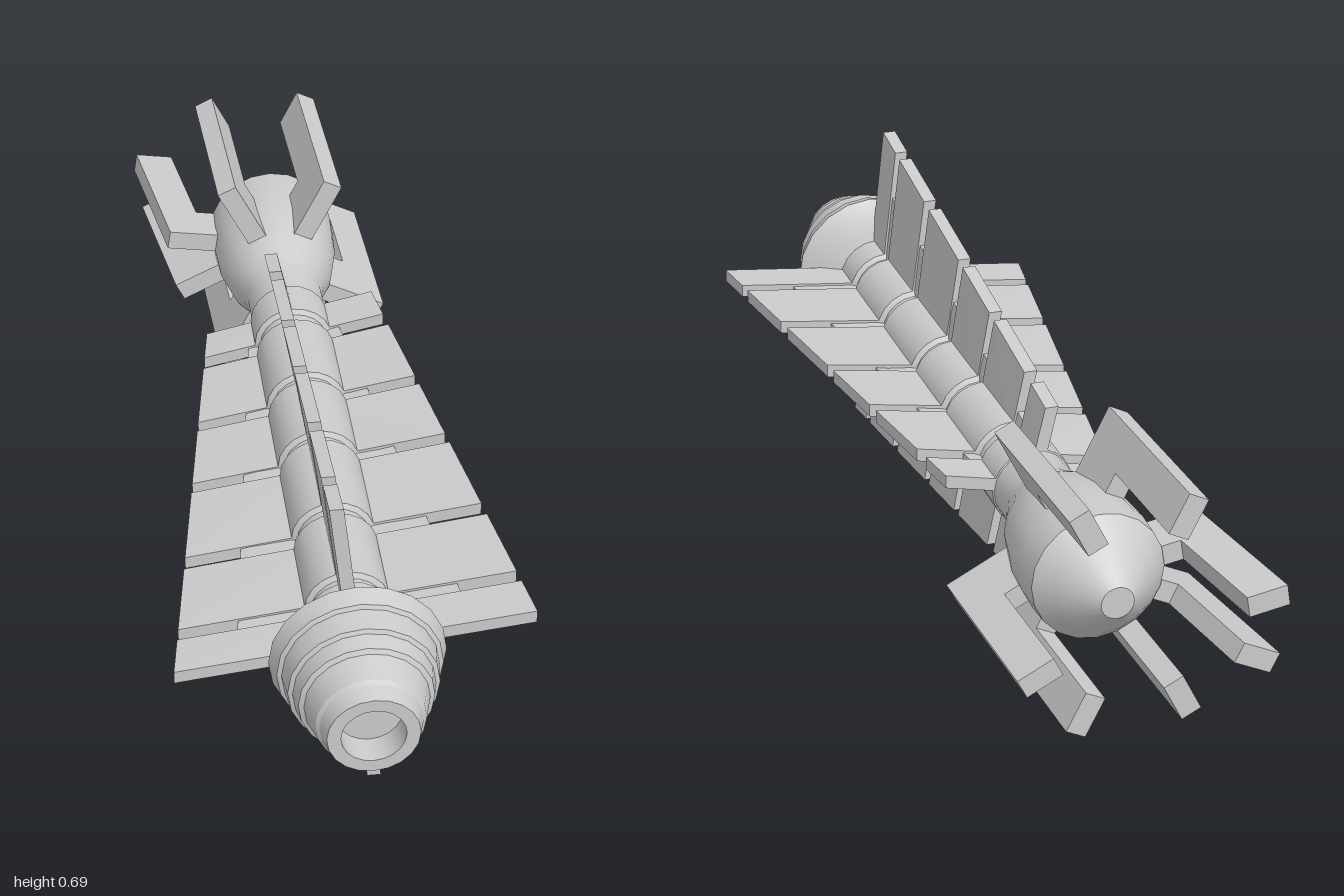
import * as THREE from 'three';
import { toCreasedNormals } from 'three/addons/utils/BufferGeometryUtils.js';

const AXIS_X = 0.005, AXIS_Y = 0.342;
const material = new THREE.MeshStandardMaterial({ color: 0xcccccc, side: THREE.DoubleSide });

function part(name, geometry) {
  const mesh = new THREE.Mesh(geometry, material);
  mesh.name = name;
  return mesh;
}

// Turned part around the long axis; points are [radius, z] from back to front
function turned(name, points, sides = 20) {
  const lathe = new THREE.LatheGeometry(points.map(([r, z]) => new THREE.Vector2(r, z)), sides);
  lathe.rotateX(Math.PI / 2);
  return part(name, toCreasedNormals(lathe, 0.45));
}

// Flat plate of the given outline, centred on its thickness
function plate(points, thickness) {
  const shape = new THREE.Shape(points.map(([x, y]) => new THREE.Vector2(x, y)));
  const geometry = new THREE.ExtrudeGeometry(shape, { depth: thickness, bevelEnabled: false });
  return geometry.translate(0, 0, -thickness / 2);
}

// Front and back z of each fin segment
const SEGMENTS = [[0.745, 0.65], [0.62, 0.435], [0.4, 0.19], [0.16, -0.02], [-0.05, -0.245], [-0.285, -0.375]];
const tipRadius = (z) => 0.347 - (0.745 - z) * 0.1535;
const webRadius = (z) => 0.22 - (0.63 - z) * 0.13;

// Fin piece between two z values, leaning sideways so that all tips line up
function finPiece(name, front, back, radiusAt, thickness, extra) {
  const geometry = plate([
    [back, 0.04], [front, 0.04], [front, radiusAt(front) + extra], [back, radiusAt(back) + extra],
  ], thickness);
  geometry.rotateY(-Math.PI / 2);
  const p = geometry.attributes.position;
  for (let i = 0; i < p.count; i++) {
    p.setX(i, p.getX(i) - 0.04 * p.getY(i) / tipRadius(p.getZ(i)));
  }
  geometry.computeVertexNormals();
  return part(name, geometry);
}

// L-shaped claw: an arm out from the head, then a finger running back
function claw(angle, { z, length, armLength, inner, bend, outer, slant }) {
  const geometry = plate([
    [inner, 0], [outer, 0], [outer, length], [bend, length], [bend, armLength], [inner, armLength],
  ], 0.044);
  geometry.rotateX(-Math.PI / 2);
  geometry.rotateZ(THREE.MathUtils.degToRad(angle));
  geometry.applyMatrix4(new THREE.Matrix4().set(1, 0, slant, 0, 0, 1, 0, 0, 0, 0, 1, 0, 0, 0, 0, 1));
  geometry.computeVertexNormals();
  const mesh = part('claw', geometry);
  mesh.position.z = z;
  return mesh;
}

export function createModel() {
  const model = new THREE.Group();
  model.name = 'finnedShaft';
  const body = new THREE.Group();
  body.name = 'body';
  body.position.set(AXIS_X, AXIS_Y, 0);
  model.add(body);

  // Stepped nose with a recessed front
  body.add(turned('nose', [
    [0.07, 0.725], [0.1, 0.735], [0.145, 0.748], [0.175, 0.77],
    [0.163, 0.808], [0.154, 0.812], [0.148, 0.862], [0.139, 0.866],
    [0.132, 0.9], [0.122, 0.905], [0.107, 0.96], [0.1, 0.966],
    [0.09, 1], [0.063, 1], [0.063, 0.94], [0, 0.94],
  ]));

  // Shaft: thick sections with narrow grooves between the fin segments
  const shaft = [];
  for (const [front, back] of SEGMENTS) {
    shaft.unshift([0.075, back - 0.006], [0.086, back], [0.086, front], [0.075, front + 0.006]);
  }
  body.add(turned('shaft', shaft));

  // Flared neck and rounded head at the back
  body.add(turned('head', [
    [0, -0.867], [0.034, -0.867], [0.07, -0.832], [0.107, -0.795], [0.137, -0.76],
    [0.14, -0.7], [0.135, -0.62], [0.118, -0.54], [0.095, -0.49], [0.083, -0.455], [0.083, -0.37],
  ]));

  // Four segmented fins, each with a low web filling the gaps
  for (let i = 0; i < 4; i++) {
    const fin = new THREE.Group();
    fin.name = 'fin';
    const extra = i % 2 ? 0.01 : 0;
    for (const [front, back] of SEGMENTS) {
      fin.add(finPiece('finSegment', front, back, tipRadius, 0.028, extra));
    }
    fin.add(finPiece('finWeb', 0.7, -0.33, webRadius, 0.018, 0));
    fin.rotation.z = i * Math.PI / 2;
    body.add(fin);
  }

  // Ring of claws; the two on the right side sit further back and splay out
  const straight = { z: -0.54, length: 0.387, armLength: 0.13, inner: 0.08, bend: 0.178, outer: 0.266, slant: 0.04 };
  for (const angle of [63.4, 116.6, 243.4, 296.6]) body.add(claw(angle, straight));
  body.add(claw(-27, { ...straight, outer: 0.256, bend: 0.175 }));
  const splayed = { z: -0.66, length: 0.34, armLength: 0.095, inner: 0.115, bend: 0.163, outer: 0.246, slant: 0.15 };
  for (const angle of [171, 206]) body.add(claw(angle, splayed));

  return model;
}
